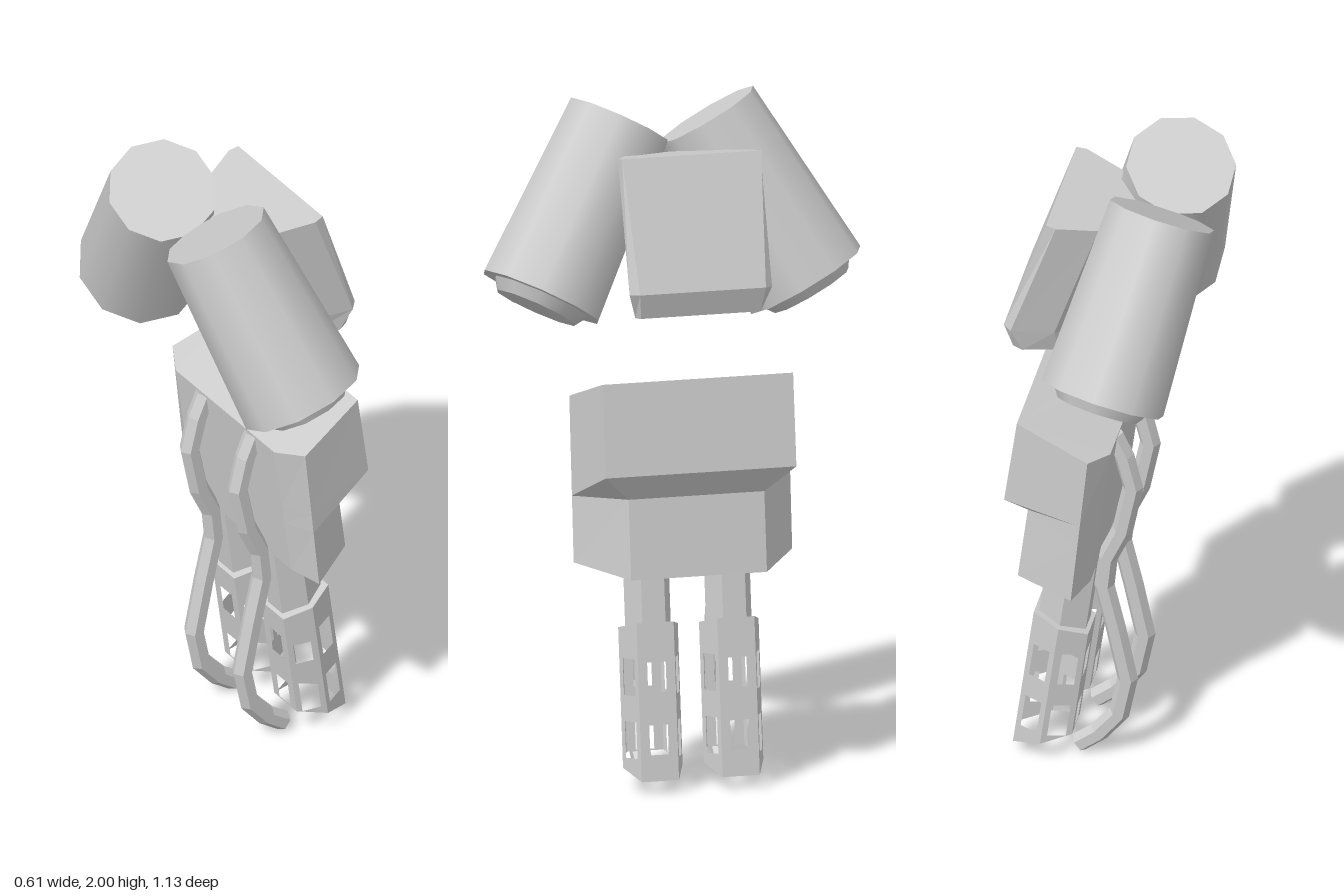
import * as THREE from 'three';

const grey = new THREE.MeshStandardMaterial({ color: 0xcccccc });
const thin = new THREE.MeshStandardMaterial({ color: 0xcccccc, side: THREE.DoubleSide });

function named(geometry, name, material = grey) {
  const mesh = new THREE.Mesh(geometry, material);
  mesh.name = name;
  return mesh;
}

// Flat-shaded closed skin over rings of [x, y, z], counter-clockwise seen from the last ring
function loft(rings) {
  const n = rings[0].length;
  const pos = [];
  const tri = (a, b, c) => pos.push(...a, ...b, ...c);
  for (let r = 0; r < rings.length - 1; r++) {
    const lo = rings[r], hi = rings[r + 1];
    for (let i = 0; i < n; i++) {
      const j = (i + 1) % n;
      tri(lo[i], lo[j], hi[j]);
      tri(lo[i], hi[j], hi[i]);
    }
  }
  const first = rings[0], last = rings[rings.length - 1];
  for (let i = 1; i < n - 1; i++) {
    tri(first[0], first[i + 1], first[i]);
    tri(last[0], last[i], last[i + 1]);
  }
  const g = new THREE.BufferGeometry();
  g.setAttribute('position', new THREE.Float32BufferAttribute(pos, 3));
  g.computeVertexNormals();
  return g;
}

// Ring symmetric in z, from its -z half listed front to back
const mirrorRing = (half) => [
  ...half,
  ...half.slice().reverse().map(([x, y, z]) => [x, y, -z]),
];

// Leaning tapered cylinder with a stepped end disc
function shoulderCylinder(side) {
  const top = new THREE.Vector3(-0.155, 1.932, 0.132 * side);
  const end = new THREE.Vector3(-0.035, 1.447, 0.4 * side);
  const length = top.distanceTo(end);
  const group = new THREE.Group();
  group.name = side > 0 ? 'frontShoulderCylinder' : 'backShoulderCylinder';
  group.add(named(new THREE.CylinderGeometry(0.162, 0.19, length, 10), 'cylinderBody'));
  const disc = named(new THREE.CylinderGeometry(0.152, 0.128, 0.035, 10), 'endDisc');
  disc.position.y = -length / 2 - 0.0175;
  group.add(disc);
  group.position.copy(top).add(end).multiplyScalar(0.5);
  group.quaternion.setFromUnitVectors(new THREE.Vector3(0, 1, 0), top.sub(end).normalize());
  return group;
}

// Leaning block with a narrowed lower end
function upperBlock() {
  const ring = (y, slope, pts) =>
    mirrorRing(pts.map(([x, z]) => [x, y + (x - pts[0][0]) * slope, -z]));
  return named(loft([
    ring(1.443, 0.17, [[0.28, 0.18], [0.25, 0.19], [0.15, 0.14], [0.08, 0.05]]),
    ring(1.52, 0.18, [[0.305, 0.19], [0.28, 0.215], [0.16, 0.165], [0.07, 0.05]]),
    ring(1.9, 0.2, [[0.175, 0.21], [0.145, 0.215], [0.028, 0.165], [-0.06, 0.05]]),
  ]), 'upperBlock');
}

// Forearm housing with a stepped outer face
function forearm() {
  const lerp = THREE.MathUtils.lerp;
  const ring = (t, x, y, z) => mirrorRing([
    [x, y, -z],
    [lerp(0.075, 0.025, t), lerp(0.67, 1.16, t), -0.33],
    [lerp(0.035, -0.025, t), lerp(0.69, 1.145, t), -0.245],
  ]);
  return named(loft([
    ring(0, 0.26, 0.652, 0.205),
    ring(0.4, 0.23, 0.888, 0.205),
    ring(0.54, 0.283, 0.97, 0.288),
    ring(1, 0.245, 1.243, 0.288),
  ]), 'forearmHousing');
}

// Hexagon corners with flat faces towards +x and -x
const hexagon = (ax, flat, point) => [
  [ax, flat], [ax, -flat], [0, -point], [-ax, -flat], [-ax, flat], [0, point],
];

// Hollow hexagonal barrel shroud with windows, hanging from a stem
function barrel(z) {
  const group = new THREE.Group();
  group.name = 'barrel';
  const corners = hexagon(0.084, 0.056, 0.09);
  const topY = (x) => 0.414 + 0.2 * x;
  const lowY = (x) => -0.43 * x;

  corners.forEach((a, i) => {
    const b = corners[(i + 1) % 6];
    const face = new THREE.Shape([
      new THREE.Vector2(0, lowY(a[0])), new THREE.Vector2(1, lowY(b[0])),
      new THREE.Vector2(1, topY(b[0])), new THREE.Vector2(0, topY(a[0])),
    ]);
    const flatFace = a[0] === b[0];
    const u = flatFace ? 0.25 : 0.19, h = flatFace ? 0.044 : 0.054;
    for (const v of [0.085, 0.27]) {
      face.holes.push(new THREE.Path([
        new THREE.Vector2(u, v - h), new THREE.Vector2(u, v + h),
        new THREE.Vector2(1 - u, v + h), new THREE.Vector2(1 - u, v - h),
      ]));
    }
    const g = new THREE.ShapeGeometry(face);
    const p = g.attributes.position;
    for (let k = 0; k < p.count; k++) {
      const s = p.getX(k);
      p.setXYZ(k, a[0] + (b[0] - a[0]) * s, p.getY(k), a[1] + (b[1] - a[1]) * s);
    }
    g.computeVertexNormals();
    group.add(named(g, 'shroudPanel', thin));
  });

  // Closed shoulder of the shroud, then the stem
  const ringAt = (pts, y) => pts.map(([x, pz]) => [x, y(x), pz]);
  group.add(named(loft([
    ringAt(corners, (x) => topY(x) - 0.006), ringAt(corners, topY),
  ]), 'shroudCap'));
  const stem = hexagon(0.072, 0.035, 0.069);
  group.add(named(loft([
    ringAt(stem, (x) => topY(x) - 0.004), ringAt(stem, () => 0.68),
  ]), 'barrelStem'));

  group.position.set(0.1925, 0.0725, z);
  group.rotation.z = 0.134;
  return group;
}

// Wavy six-sided hose behind each barrel
function hose(z) {
  const path = [
    [-0.008, 1.13], [-0.04, 1.06], [-0.066, 0.955], [-0.035, 0.8], [0.01, 0.7], [0.02, 0.6],
    [-0.015, 0.45], [-0.05, 0.28], [-0.025, 0.155], [0.035, 0.08], [0.095, 0.034],
  ];
  const rings = path.map(([x, y], i) => {
    const a = path[Math.max(i - 1, 0)], b = path[Math.min(i + 1, path.length - 1)];
    const t = new THREE.Vector2(b[0] - a[0], b[1] - a[1]).normalize();
    return Array.from({ length: 6 }, (_, k) => {
      const c = 0.031 * Math.cos(k * Math.PI / 3), s = 0.031 * Math.sin(k * Math.PI / 3);
      return [x - t.y * c, y + t.x * c, z + s];
    });
  });
  return named(loft(rings), 'hose');
}

export function createModel() {
  const model = new THREE.Group();
  model.name = 'mechanicalArm';
  model.add(upperBlock(), forearm());
  for (const side of [1, -1]) {
    model.add(shoulderCylinder(side), barrel(0.122 * side), hose(0.12 * side));
  }
  return model;
}
